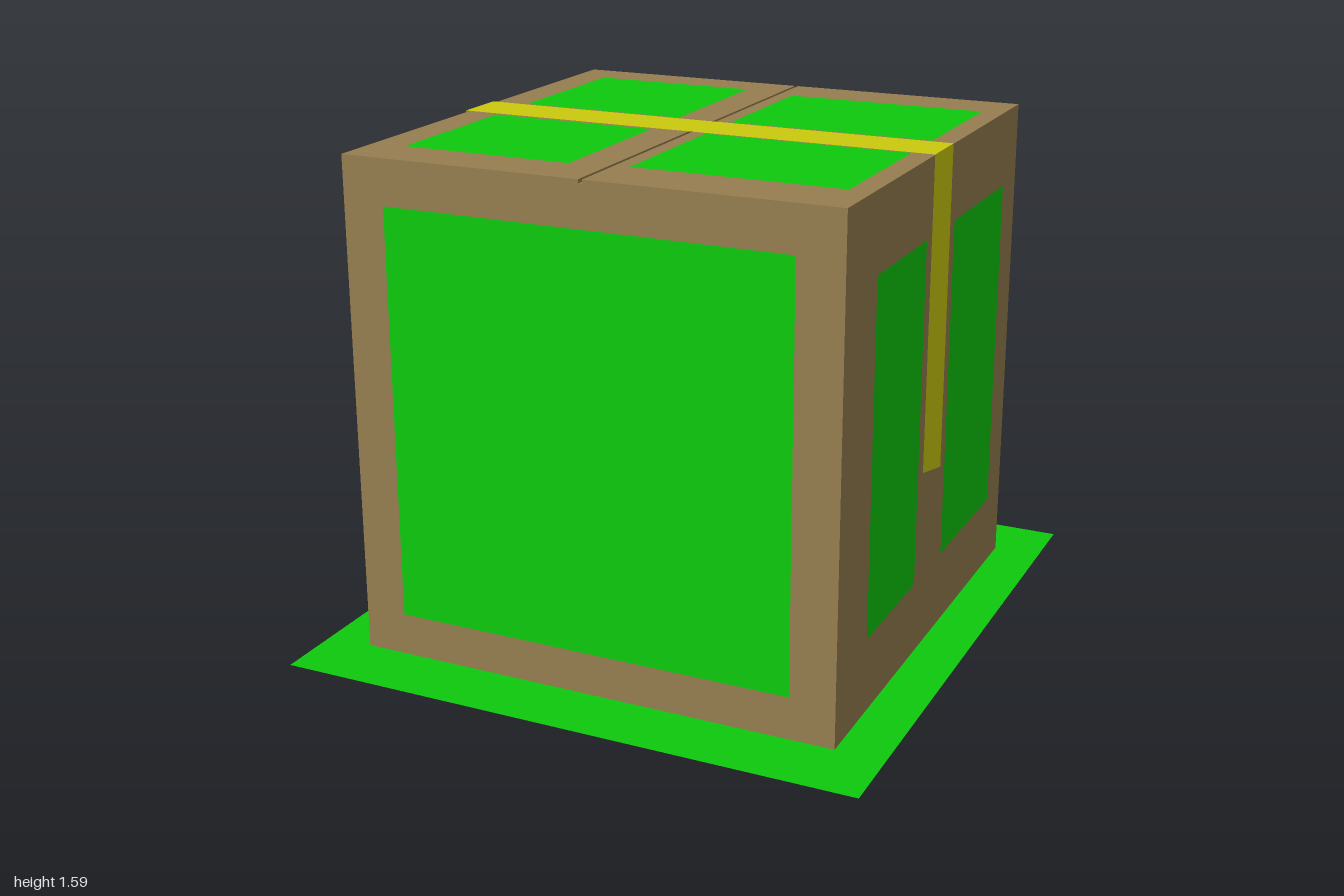
import * as THREE from 'three';

const HALF = 0.787, TOP = 1.587, FLAP = 0.012, BASE = 0.004;

const paint = (color, side = THREE.FrontSide) => new THREE.MeshStandardMaterial({ color, side });

// Rotation of a flat patch onto each face of the box, and the face's distance from the origin
const FACES = {
  front: { rot: [0, 0, 0], dist: HALF },
  back: { rot: [0, Math.PI, 0], dist: HALF },
  left: { rot: [0, Math.PI / 2, 0], dist: HALF }, // +x
  right: { rot: [0, -Math.PI / 2, 0], dist: HALF }, // -x
  top: { rot: [-Math.PI / 2, 0, 0], dist: TOP },
};

export function createModel() {
  const model = new THREE.Group();
  model.name = 'parcel';
  const card = paint(0x967e4f);
  const green = paint(0x0dc90d, THREE.DoubleSide);
  const yellow = paint(0xcbc90d, THREE.DoubleSide);

  const addBox = (name, w, h, d, x, y, z) => {
    const mesh = new THREE.Mesh(new THREE.BoxGeometry(w, h, d), card);
    mesh.name = name;
    mesh.position.set(x, y, z);
    model.add(mesh);
  };

  // Flat polygon lying just proud of a face; corners are (u right, v up) as seen facing it
  const addPatch = (name, face, corners, material, lift) => {
    const shape = new THREE.Shape(corners.map(([u, v]) => new THREE.Vector2(u, v)));
    const { rot, dist } = FACES[face];
    const mesh = new THREE.Mesh(new THREE.ShapeGeometry(shape), material);
    mesh.name = name;
    mesh.rotation.set(...rot);
    mesh.translateZ(dist + lift);
    model.add(mesh);
  };
  const rect = (u0, u1, v0, v1) => [[u0, v0], [u1, v0], [u1, v1], [u0, v1]];

  // Carton body and the two lid flaps with a seam between them
  const bodyTop = TOP - FLAP;
  addBox('cartonBody', HALF * 2, bodyTop - BASE, HALF * 2, 0, (bodyTop + BASE) / 2, 0);
  for (const s of [-1, 1]) {
    const width = HALF - 0.006;
    addBox(s > 0 ? 'leftFlap' : 'rightFlap', width, FLAP, HALF * 2,
      s * (HALF - width / 2), TOP - FLAP / 2, 0);
  }

  // Green panels: face, then u and v ranges
  const panels = [
    ['front', -0.65, 0.645, 0.14, 1.445],
    ['back', -0.55, 0.55, 0.24, 1.335],
    ['left', -0.55, -0.13, 0.245, 1.345],
    ['left', 0.13, 0.64, 0.245, 1.345],
    ['right', -0.64, -0.21, 0.15, 1.41],
    ['right', 0.185, 0.69, 0.15, 1.41],
    ['top', -0.67, -0.12, 0.10, 0.64],
    ['top', 0.06, 0.72, 0.10, 0.60],
    ['top', -0.67, -0.12, -0.63, -0.10],
    ['top', 0.06, 0.72, -0.60, -0.09],
  ];
  for (const [face, ...range] of panels) addPatch(face + 'Panel', face, rect(...range), green, 0.003);

  // Packing tape over the lid, with slanted ends running down both sides
  const t = 0.086, lift = 0.004, reach = HALF + lift, tapeTop = TOP + lift;
  addPatch('tapeTop', 'top', rect(-reach, reach, -t, t), yellow, lift);
  addPatch('tapeLeft', 'left', [[-t, 0.6], [t, 0.56], [t, tapeTop], [-t, tapeTop]], yellow, lift);
  addPatch('tapeRight', 'right', [[-t, 1.27], [t, 1.31], [t, tapeTop], [-t, tapeTop]], yellow, lift);

  // Ground sheet under the carton
  const sheet = new THREE.Mesh(new THREE.PlaneGeometry(1.88, 2), green);
  sheet.name = 'groundSheet';
  sheet.rotation.x = -Math.PI / 2;
  model.add(sheet);

  return model;
}
